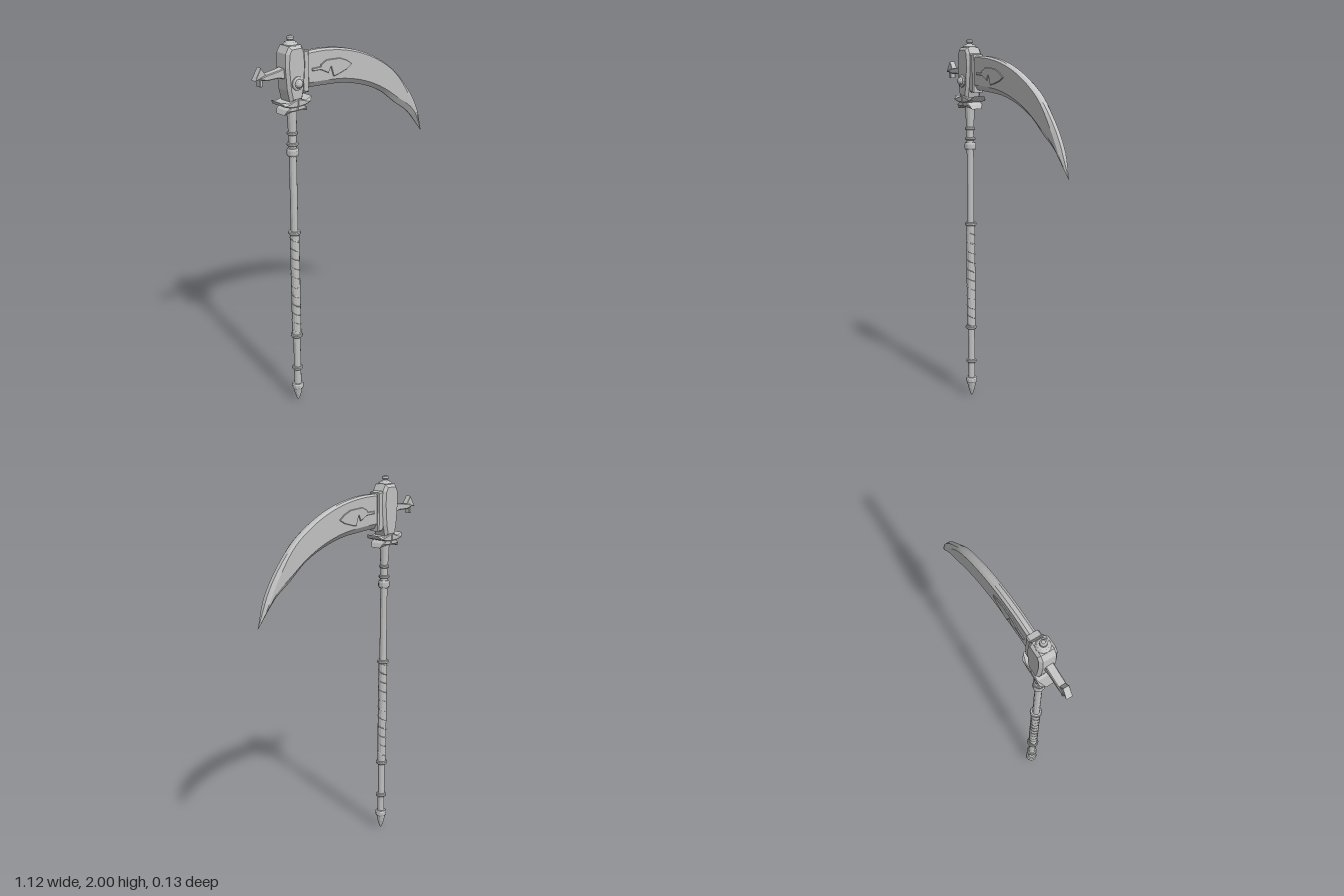
import * as THREE from 'three';

const steel = new THREE.MeshStandardMaterial({ color: 0xc2c2c2 });
steel.name = 'grey steel';

const flat = (g) => {
  const f = g.index ? g.toNonIndexed() : g;
  f.computeVertexNormals();
  return f;
};

export function createModel() {
  const model = new THREE.Group();
  model.name = 'scythe';
  // everything is built around the pole axis, then shifted into place
  const body = new THREE.Group();
  body.name = 'scytheBody';
  body.position.set(-0.34, 0, -0.012);
  model.add(body);

  const add = (name, geo, x = 0, y = 0, z = 0) => {
    const m = new THREE.Mesh(geo, steel);
    m.name = name;
    m.position.set(x, y, z);
    body.add(m);
    return m;
  };
  const lathe = (pts, sides = 12) =>
    flat(new THREE.LatheGeometry(pts.map(([r, y]) => new THREE.Vector2(r, y)), sides));
  const outline = (pts) => new THREE.Shape(pts.map(([x, y]) => new THREE.Vector2(x, y)));
  // plate centred on z = 0; depth is the full thickness including the bevel
  const plate = (pts, depth, bevel = 0) => {
    const g = new THREE.ExtrudeGeometry(outline(pts), {
      depth: depth - 2 * bevel, bevelEnabled: bevel > 0, bevelThickness: bevel,
      bevelSize: bevel, bevelOffset: -bevel, bevelSegments: 1,
    });
    g.translate(0, 0, -depth / 2 + bevel);
    return flat(g);
  };

  // pommel, pole and neck
  add('pommelTip', lathe([[0, 0.005], [0.008, 0.018], [0.018, 0.05], [0.024, 0.08], [0.024, 0.09], [0, 0.092]]));
  add('pole', lathe([[0.019, 0.08], [0.019, 1.45]]));
  add('grip', lathe([[0.024, 0.41], [0.024, 1.0]]));
  add('neck', lathe([[0.021, 1.43], [0.019, 1.52], [0.021, 1.54], [0.027, 1.65], [0.03, 1.71]]));

  // rings along the pole: height, half height, radius
  [[0.1, 0.016, 0.031], [0.212, 0.009, 0.029], [0.41, 0.009, 0.032], [1.0, 0.009, 0.032],
    [1.43, 0.02, 0.031], [1.47, 0.008, 0.029], [1.525, 0.008, 0.027]].forEach(([y, h, r]) => {
    add('ring', lathe([[0.015, -h], [r - 0.004, -h], [r, -h / 2], [r, h / 2], [r - 0.004, h], [0.015, h]]), 0, y);
  });

  // spiral wrap of the grip
  const turns = 11, spiral = [];
  for (let i = 0; i <= turns * 10; i++) {
    const a = (i / 10) * Math.PI * 2;
    spiral.push(new THREE.Vector3(Math.cos(a) * 0.022, 0.415 + (0.58 * i) / (turns * 10), Math.sin(a) * 0.022));
  }
  add('gripWrap', flat(new THREE.TubeGeometry(new THREE.CatmullRomCurve3(spiral), turns * 12, 0.004, 5)));

  // guard claws: an upper pair curling up, a lower pair pointing down, narrowing at their tips
  const claw = (pts, depth, tipStart) => {
    const g = plate(pts, depth, 0.004);
    const p = g.attributes.position;
    for (let i = 0; i < p.count; i++) if (Math.abs(p.getX(i)) > tipStart) p.setZ(i, p.getZ(i) * 0.7);
    g.computeVertexNormals();
    return g;
  };
  const upperClaw = [[0, 1.665], [0.045, 1.668], [0.078, 1.678], [0.096, 1.7], [0.05, 1.69], [0, 1.705]];
  const lowerClaw = [[0, 1.645], [0.03, 1.645], [0.07, 1.632], [0.058, 1.655], [0.035, 1.672], [0, 1.675]];
  for (const s of [1, -1]) {
    const side = (pts) => pts.map(([x, y]) => [x * s, y]);
    add('upperClaw', claw(side(upperClaw), 0.104, 0.082));
    add('lowerClaw', claw(side(lowerClaw), 0.09, 0.06));
  }

  // head block with chamfered faces
  add('head', plate([[-0.036, 1.69], [0.036, 1.69], [0.05, 1.75], [0.059, 1.86], [0.055, 1.925],
    [0.036, 1.957], [-0.036, 1.957], [-0.055, 1.925], [-0.059, 1.86], [-0.05, 1.75]], 0.094, 0.014));

  // finial
  add('finial', lathe([[0.036, 1.95], [0.036, 1.96], [0.027, 1.97], [0.016, 1.973], [0.012, 1.977],
    [0.018, 1.984], [0.017, 1.994], [0.009, 2.0], [0, 2.0]]));

  // front boss
  const boss = add('boss', lathe([[0.034, 0], [0.034, 0.009], [0.028, 0.013], [0.022, 0.013],
    [0.019, 0.022], [0.011, 0.028], [0, 0.03]]), 0, 1.78, 0.044);
  boss.rotation.x = Math.PI / 2;

  // blade socket
  add('socket', plate([[0.045, 1.735], [0.056, 1.72], [0.086, 1.72], [0.086, 1.92], [0.056, 1.925], [0.045, 1.91]], 0.066, 0.006));

  // blade: back and cutting edge meet at the tip, joined by bevelled cross-sections
  const curve = (pts) => new THREE.CatmullRomCurve3(pts.map(([x, y]) => new THREE.Vector3(x + 0.34, y, 0)));
  const back = curve([[-0.27, 1.913], [-0.14, 1.91], [0.01, 1.884], [0.167, 1.825], [0.315, 1.73],
    [0.42, 1.62], [0.50, 1.497], [0.556, 1.34]]);
  const edge = curve([[-0.27, 1.735], [-0.14, 1.727], [-0.013, 1.714], [0.124, 1.677], [0.246, 1.62],
    [0.35, 1.54], [0.44, 1.476], [0.556, 1.34]]);
  const steps = 36, rings = [];
  for (let i = 0; i <= steps; i++) {
    const t = i / steps;
    const a = back.getPoint(t), b = edge.getPoint(t);
    const k = THREE.MathUtils.smoothstep(t, 0.55, 1); // bevels widen to a ridge near the tip
    const thick = Math.min(1, (1 - t) / 0.1);
    const half = [[0, 0.01], [0.05 + 0.35 * k, 0.022], [0.85 - 0.35 * k, 0.022], [1, 0.003]];
    const at = ([f, z], s) => a.clone().lerp(b, f).setZ(s * z * thick);
    rings.push([...half.map((h) => at(h, 1)), ...half.slice().reverse().map((h) => at(h, -1))]);
  }
  const verts = [];
  for (let i = 0; i < steps; i++) {
    for (let j = 0; j < 8; j++) {
      const n = (j + 1) % 8;
      const [a, b, c, d] = [rings[i][j], rings[i + 1][j], rings[i + 1][n], rings[i][n]];
      for (const p of [a, d, c, a, c, b]) verts.push(p.x, p.y, p.z);
    }
  }
  const blade = new THREE.BufferGeometry();
  blade.setAttribute('position', new THREE.Float32BufferAttribute(verts, 3));
  blade.computeVertexNormals();
  add('blade', blade);

  // raised leaf ornament on both faces of the blade
  const leaf = [[0.11, 1.828], [0.163, 1.828], [0.165, 1.838], [0.2, 1.855], [0.285, 1.85], [0.33, 1.832],
    [0.365, 1.807], [0.33, 1.787], [0.27, 1.77], [0.245, 1.766], [0.228, 1.82], [0.212, 1.788],
    [0.165, 1.812], [0.11, 1.815]];
  for (const s of [1, -1]) add('leafOrnament', plate(leaf, 0.009, 0.002), 0, 0, s * 0.0235);

  // rear spike with a barbed end
  add('rearRod', plate([[-0.04, 1.8], [-0.04, 1.86], [-0.09, 1.85], [-0.155, 1.842], [-0.19, 1.835],
    [-0.19, 1.822], [-0.155, 1.814], [-0.09, 1.814]], 0.042, 0.004));
  add('rearBarb', plate([[-0.186, 1.88], [-0.221, 1.823], [-0.195, 1.828], [-0.193, 1.79], [-0.179, 1.79],
    [-0.177, 1.828], [-0.147, 1.823]], 0.032, 0.002));

  return model;
}
